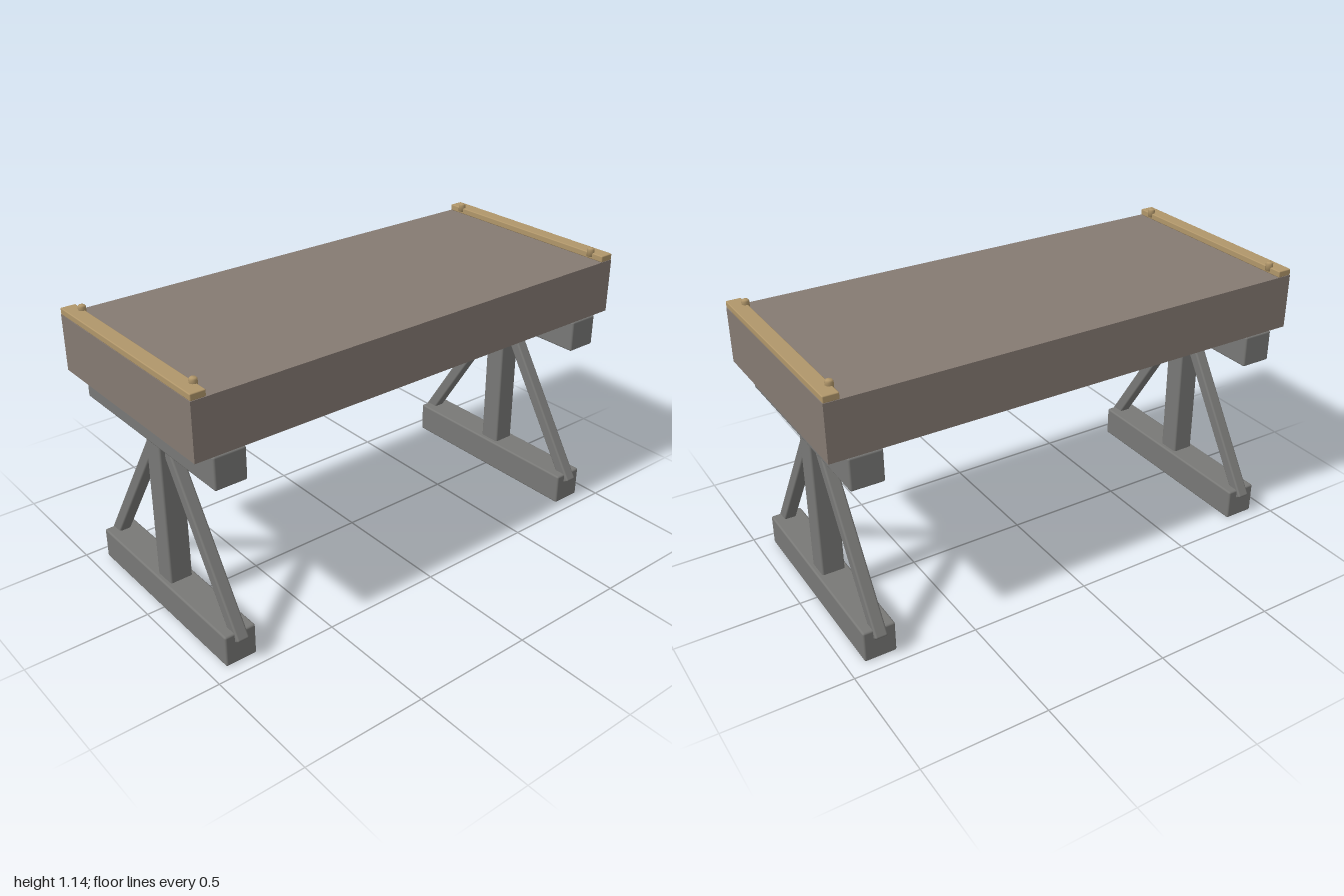
import * as THREE from 'three';
import { RoundedBoxGeometry } from 'three/addons/geometries/RoundedBoxGeometry.js';

const frameMat = new THREE.MeshStandardMaterial({ color: 0x787876 });
const topMat = new THREE.MeshStandardMaterial({ color: 0x857a72 });
const stripMat = new THREE.MeshStandardMaterial({ color: 0xb0966a });

function add(parent, name, geometry, material, x, y, z) {
  const mesh = new THREE.Mesh(geometry, material);
  mesh.name = name;
  mesh.position.set(x, y, z);
  parent.add(mesh);
  return mesh;
}

const beam = (w, h, d, r = 0.008) => new RoundedBoxGeometry(w, h, d, 2, r);

// Vertical peg with a softly rounded head
function pegGeometry() {
  const profile = [[0, 0], [0.015, 0], [0.015, 0.028], [0.011, 0.034], [0, 0.036]];
  return new THREE.LatheGeometry(profile.map(([x, y]) => new THREE.Vector2(x, y)), 16);
}

// One trestle: foot, post, head beam and two diagonal braces
function createTrestle() {
  const trestle = new THREE.Group();
  add(trestle, 'foot', beam(0.13, 0.13, 0.885), frameMat, 0, 0.067, 0);
  add(trestle, 'headBeam', beam(0.13, 0.13, 0.885), frameMat, 0, 0.803, 0);
  add(trestle, 'post', beam(0.094, 0.66, 0.094), frameMat, 0, 0.435, 0);
  const low = new THREE.Vector2(0.444, 0.091);
  const high = new THREE.Vector2(0.016, 0.754);
  for (const s of [1, -1]) {
    const brace = add(trestle, 'brace', beam(0.05, low.distanceTo(high), 0.05), frameMat,
      0, (low.y + high.y) / 2, s * (low.x + high.x) / 2);
    brace.rotation.x = -s * Math.atan2(low.x - high.x, high.y - low.y);
  }
  return trestle;
}

export function createModel() {
  const table = new THREE.Group();
  table.name = 'trestleTable';

  // Thick top and the beam joining the trestles
  add(table, 'tableTop', new THREE.BoxGeometry(2, 0.224, 0.885), topMat, 0, 0.982, 0);
  add(table, 'stretcher', beam(1.62, 0.13, 0.13), frameMat, 0, 0.803, 0);

  for (const s of [1, -1]) {
    const trestle = createTrestle();
    trestle.name = s > 0 ? 'leftTrestle' : 'rightTrestle';
    trestle.position.x = s * 0.866;
    table.add(trestle);

    // End strip pinned with two pegs
    add(table, 'endStrip', beam(0.06, 0.026, 0.885, 0.004), stripMat, s * 0.97, 1.107, 0);
    for (const z of [0.377, -0.377]) {
      add(table, 'peg', pegGeometry(), stripMat, s * 0.946, 1.104, z);
    }
  }
  return table;
}
